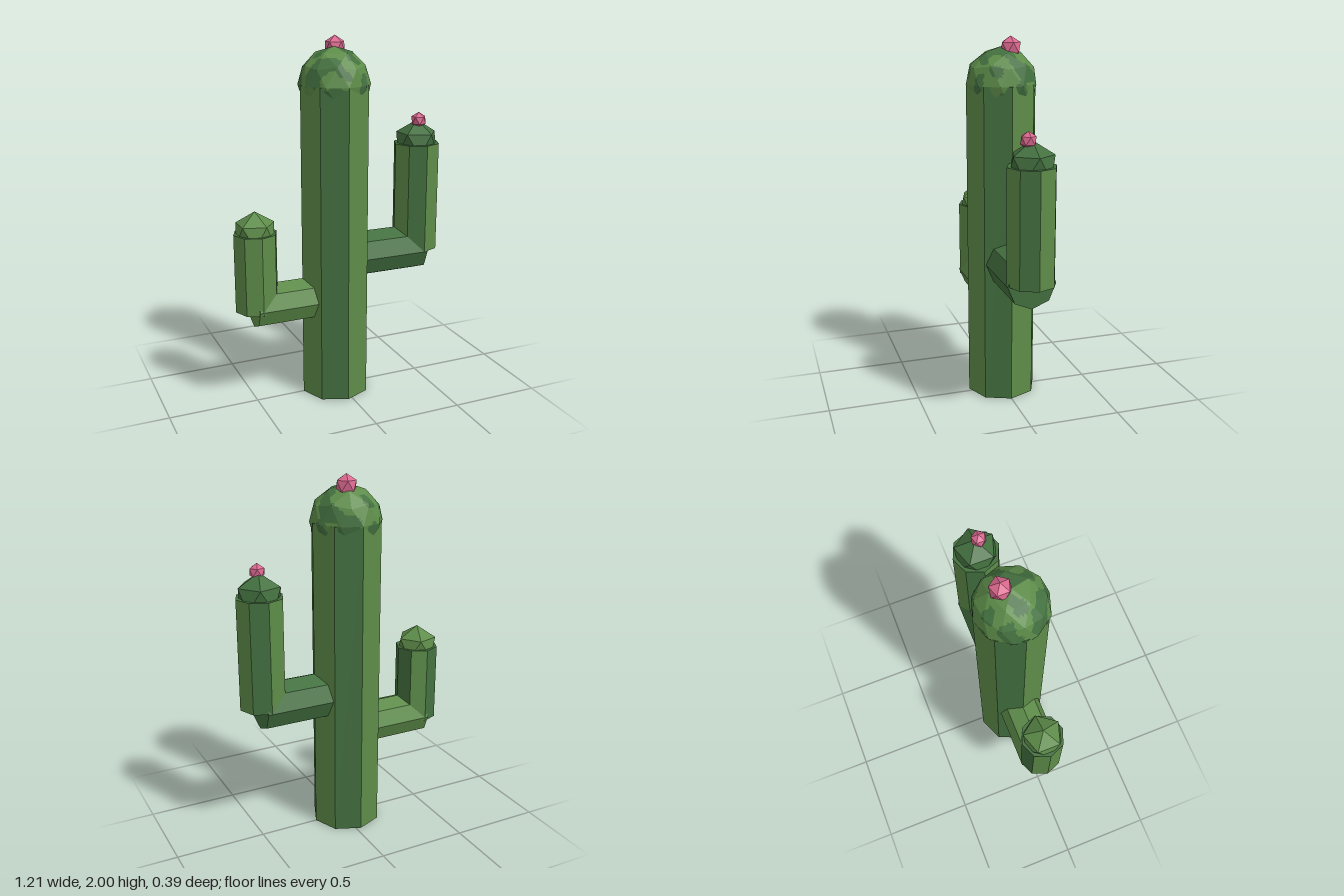
import * as THREE from 'three';

const mat = (name, color) => {
  const m = new THREE.MeshStandardMaterial({ color });
  m.name = name;
  return m;
};

export function createModel() {
  const model = new THREE.Group();
  model.name = 'cactus';
  const light = mat('light green', 0x5d8c49);
  const dark = mat('dark green', 0x43703f);
  const pink = mat('blossom pink', 0xdb6890);

  const add = (name, geometry, material, x, y, z = 0) => {
    const mesh = new THREE.Mesh(geometry, material);
    mesh.name = name;
    mesh.position.set(x, y, z);
    model.add(mesh);
    return mesh;
  };

  // Eight-sided upright stem; the pattern gives each side's green (L or D)
  const stem = (name, r, y0, y1, x, pattern) => {
    const g = new THREE.CylinderGeometry(r, r, y1 - y0, 8).toNonIndexed();
    g.computeVertexNormals();
    g.clearGroups();
    [...pattern].forEach((c, i) => g.addGroup(i * 6, 6, c === 'L' ? 0 : 1));
    g.addGroup(48, 48, 1);
    add(name, g, [light, dark], x, (y0 + y1) / 2);
  };

  // Eight-sided branch lying along x
  const branch = (name, r, x0, x1, y, material) => {
    const g = new THREE.CylinderGeometry(r, r, x1 - x0, 8).toNonIndexed();
    g.computeVertexNormals();
    g.rotateZ(Math.PI / 2);
    add(name, g, material, (x0 + x1) / 2, y);
  };

  // Faceted ball standing on one vertex
  const ball = (r, detail = 0) => {
    const g = new THREE.IcosahedronGeometry(r, detail);
    g.rotateZ(-Math.atan(2 / (1 + Math.sqrt(5))));
    g.computeVertexNormals();
    return g;
  };

  // Split each flat facet into small triangles and sort them into two greens
  const mottle = (source, n) => {
    const p = source.attributes.position;
    const lists = [[], []];
    const [a, b, c] = [0, 1, 2].map(() => new THREE.Vector3());
    const at = (i, j) => a.clone()
      .addScaledVector(b.clone().sub(a), i / n)
      .addScaledVector(c.clone().sub(a), j / n);
    const put = (...t) => {
      const m = t[0].clone().add(t[1]).add(t[2]).divideScalar(3);
      const v = Math.sin(m.x * 37 + 2 * Math.sin(m.z * 21) + 1)
        + Math.sin(m.z * 41 + 2 * Math.sin(m.y * 25))
        + Math.sin(m.y * 39 + 2 * Math.sin(m.x * 23) + 2);
      t.forEach((q) => lists[v > 0 ? 0 : 1].push(q.x, q.y, q.z));
    };
    for (let f = 0; f < p.count; f += 3) {
      [a, b, c].forEach((v, k) => v.fromBufferAttribute(p, f + k));
      for (let i = 0; i < n; i++) {
        for (let j = 0; j < n - i; j++) {
          put(at(i, j), at(i + 1, j), at(i, j + 1));
          if (i + j < n - 1) put(at(i + 1, j), at(i + 1, j + 1), at(i, j + 1));
        }
      }
    }
    const g = new THREE.BufferGeometry();
    g.setAttribute('position', new THREE.Float32BufferAttribute(lists.flat(), 3));
    g.addGroup(0, lists[0].length / 3, 0);
    g.addGroup(lists[0].length / 3, lists[1].length / 3, 1);
    g.computeVertexNormals();
    return g;
  };

  // Trunk and its mottled dome
  stem('trunk', 0.194, 0, 1.75, -0.027, 'LDLDLDLD');
  add('trunkDome', mottle(ball(0.195, 1), 6), [light, dark], -0.027, 1.75);

  // Tall arm on the left
  branch('leftBranch', 0.13, 0, 0.493, 0.79, dark);
  stem('leftArm', 0.13, 0.79, 1.4, 0.473, 'LDLDLDLD');
  add('leftArmCap', ball(0.128), dark, 0.473, 1.4);

  // Short arm on the right
  branch('rightBranch', 0.12, -0.507, -0.05, 0.57, light);
  stem('rightArm', 0.12, 0.55, 0.985, -0.487, 'LDDLDLLL');
  add('rightArmCap', ball(0.12), light, -0.487, 0.983);

  // Blossoms
  add('topBlossom', ball(0.06), pink, -0.005, 1.94, -0.045);
  add('armBlossom', ball(0.045), pink, 0.473, 1.528, 0.02);

  return model;
}
